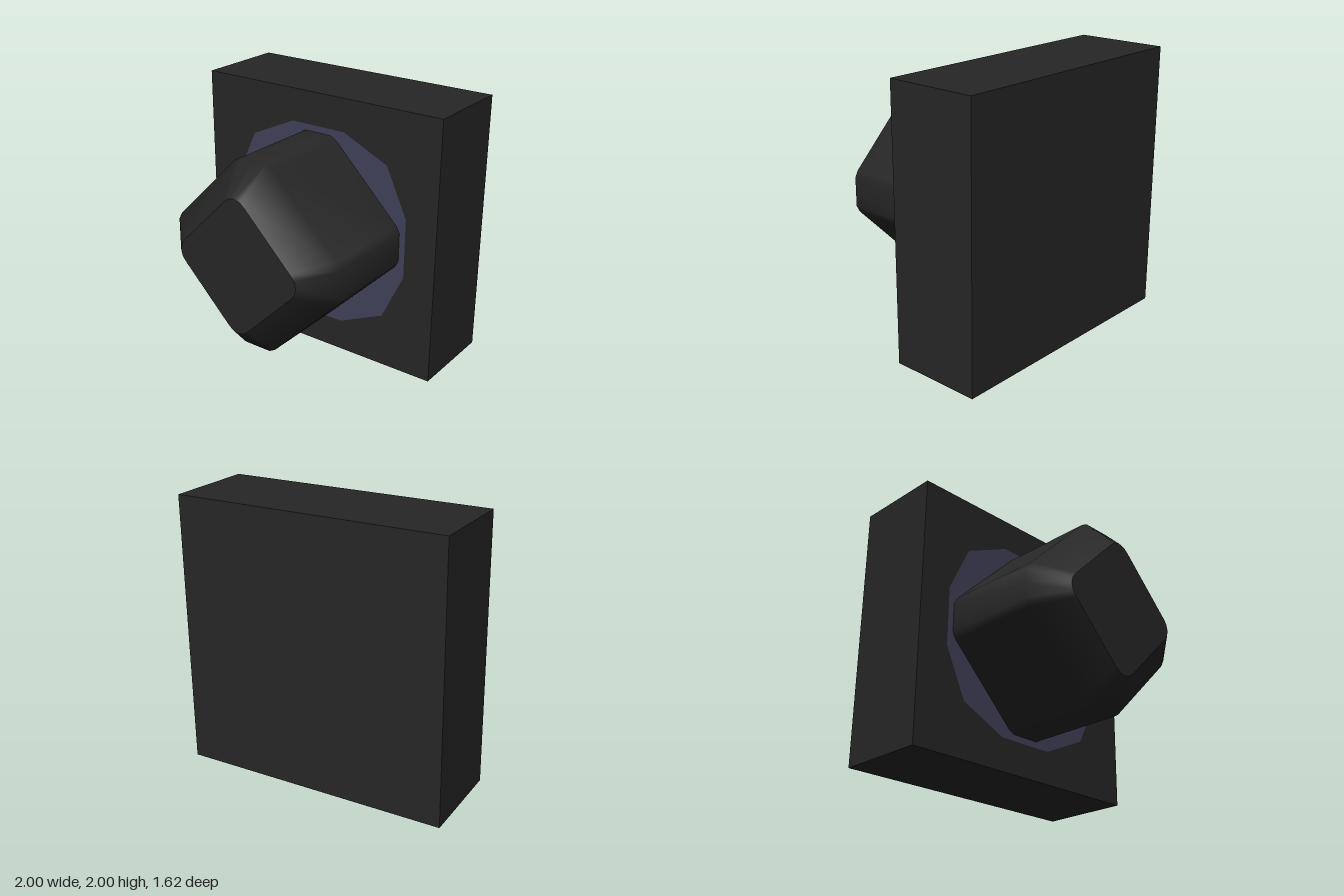
import * as THREE from 'three';

const dark = new THREE.MeshStandardMaterial({ color: 0x262626 });
const blueGrey = new THREE.MeshStandardMaterial({ color: 0x404058 });
const FACE_Z = -0.123;
const FRONT_Z = 0.81;

// Repeat a top-corner outline (clockwise from the left) around four quarter turns, counter-clockwise
function fourfold(corner) {
  const points = [];
  for (let q = 0; q < 4; q++) {
    for (const [x, y] of [...corner].reverse()) {
      points.push(new THREE.Vector2(x, y).rotateAround(new THREE.Vector2(), q * Math.PI / 2));
    }
  }
  return points;
}

// Smooth skin through rings of equal point count
function skin(rings) {
  const n = rings[0].points.length;
  const positions = [];
  const index = [];
  for (const { points, z } of rings) for (const p of points) positions.push(p.x, p.y, z);
  for (let r = 0; r < rings.length - 1; r++) {
    for (let i = 0; i < n; i++) {
      const a = r * n + i;
      const b = r * n + (i + 1) % n;
      index.push(a, b, b + n, a, b + n, a + n);
    }
  }
  const geometry = new THREE.BufferGeometry();
  geometry.setAttribute('position', new THREE.Float32BufferAttribute(positions, 3));
  geometry.setIndex(index);
  geometry.computeVertexNormals();
  return geometry;
}

export function createModel() {
  const model = new THREE.Group();
  model.name = 'knobOnPlate';
  const add = (name, geometry, material, z = 0, parent = model) => {
    const mesh = new THREE.Mesh(geometry, material);
    mesh.name = name;
    mesh.position.z = z;
    parent.add(mesh);
    return mesh;
  };

  // Square backing plate
  const depth = FACE_Z + 0.81;
  add('plate', new THREE.BoxGeometry(2, 2, depth), dark, -0.81 + depth / 2).position.y = 1;

  // Thin twelve-sided inlay on the plate
  const inlay = fourfold([[-0.225, 0.755], [0.225, 0.755], [0.587, 0.587]]);
  add('inlay', new THREE.ShapeGeometry(new THREE.Shape(inlay)), blueGrey, FACE_Z + 0.003).position.y = 1;

  // Diamond-shaped knob with softened corners and a bevelled front
  const knob = new THREE.Group();
  knob.name = 'knob';
  knob.position.y = 1;
  model.add(knob);
  const outer = fourfold([[-0.16, 0.68], [-0.11, 0.708], [0, 0.708], [0.11, 0.708], [0.16, 0.68]]);
  const inner = fourfold([[-0.09, 0.46], [-0.05, 0.493], [0, 0.505], [0.05, 0.493], [0.09, 0.46]]);
  const sides = skin([
    { points: outer, z: FACE_Z },
    { points: outer, z: 0.605 },
    { points: inner, z: FRONT_Z },
  ]);
  add('knobSides', sides, dark, 0, knob);
  add('knobFace', new THREE.ShapeGeometry(new THREE.Shape(inner)), dark, FRONT_Z, knob);

  return model;
}
